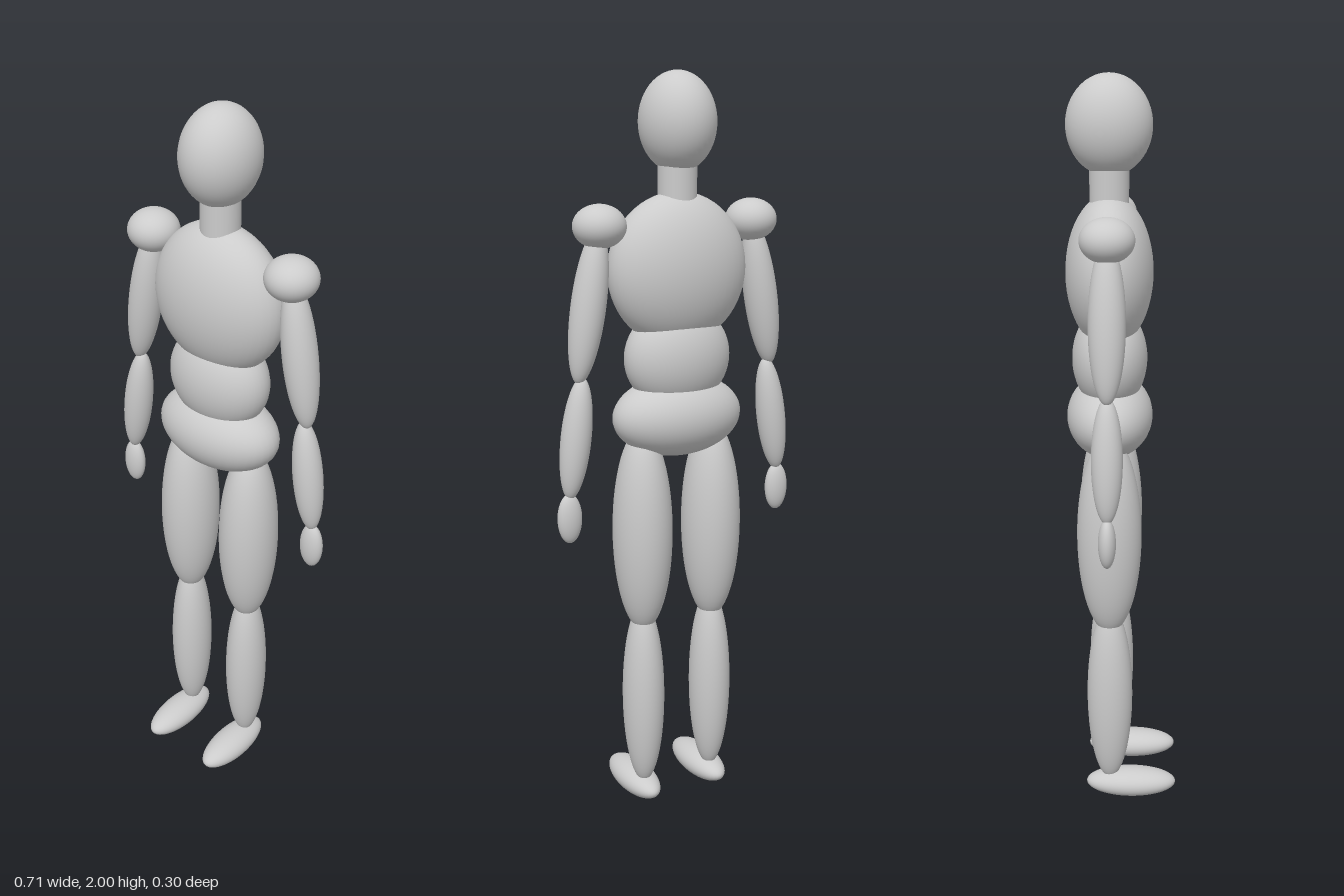
import * as THREE from 'three';

const Z = -0.036; // depth of the body's axis

export function createModel() {
  const group = new THREE.Group();
  const material = new THREE.MeshStandardMaterial({ color: 0xcccccc });
  const sphere = new THREE.SphereGeometry(1, 40, 28);

  // Ellipsoid from centre and radii, tilted about z
  function ellipsoid(name, [x, y, z], [rx, ry, rz], tilt = 0) {
    const mesh = new THREE.Mesh(sphere, material);
    mesh.name = name;
    mesh.position.set(x, y, z);
    mesh.scale.set(rx, ry, rz);
    mesh.rotation.z = tilt;
    group.add(mesh);
  }

  // Head, neck and trunk
  ellipsoid('head', [0, 1.873, Z], [0.098, 0.127, 0.111]);
  const neck = new THREE.Mesh(new THREE.CylinderGeometry(0.051, 0.051, 0.13, 40), material);
  neck.name = 'neck';
  neck.position.set(0, 1.735, Z);
  group.add(neck);
  ellipsoid('chest', [0, 1.5, Z], [0.196, 0.2, 0.115]);
  ellipsoid('abdomen', [0, 1.27, Z], [0.15, 0.14, 0.1]);
  ellipsoid('pelvis', [0, 1.112, Z], [0.185, 0.11, 0.115]);

  // Arms and legs, mirrored
  for (const [side, s] of [['left', 1], ['right', -1]]) {
    ellipsoid(side + 'Shoulder', [s * 0.223, 1.62, Z], [0.069, 0.056, 0.069]);
    ellipsoid(side + 'UpperArm', [s * 0.257, 1.42, Z], [0.045, 0.2, 0.047], s * 0.16);
    ellipsoid(side + 'Forearm', [s * 0.298, 1.08, Z], [0.04, 0.162, 0.04], s * 0.13);
    ellipsoid(side + 'Hand', [s * 0.32, 0.867, Z], [0.034, 0.067, 0.023]);
    ellipsoid(side + 'Thigh', [s * 0.106, 0.8, Z], [0.08, 0.285, 0.087]);
    ellipsoid(side + 'Shin', [s * 0.106, 0.322, Z], [0.057, 0.268, 0.063]);
    ellipsoid(side + 'Foot', [s * 0.106, 0.04, 0.024], [0.052, 0.04, 0.127]);
  }

  return group;
}
